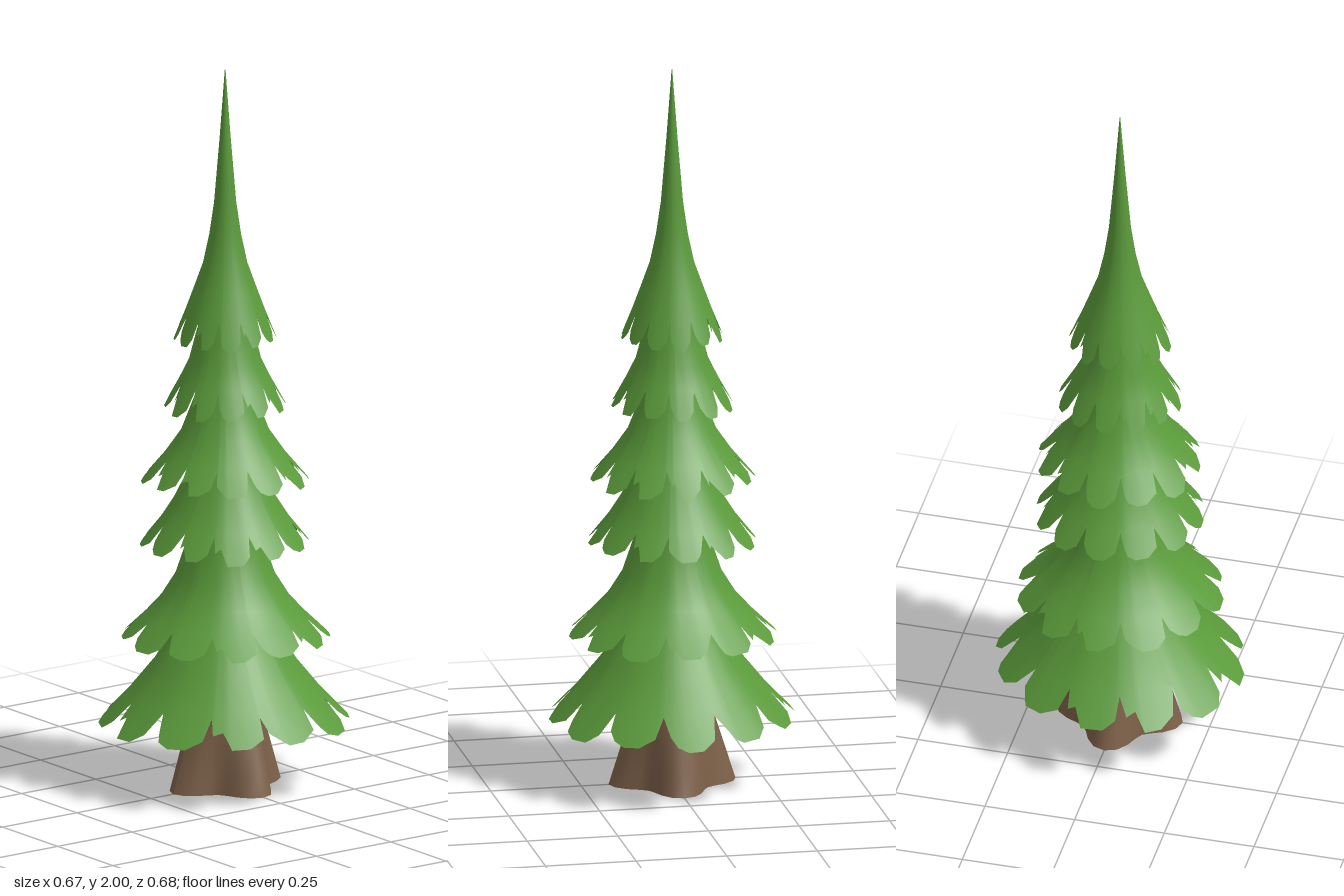
import * as THREE from 'three';

const foliage = new THREE.MeshStandardMaterial({ color: 0x5a9a3a, side: THREE.DoubleSide });
foliage.name = 'needle green';
const bark = new THREE.MeshStandardMaterial({ color: 0x7d6149 });
bark.name = 'bark brown';

// Small seeded generator for the ragged hems
function seeded(seed) {
  let s = seed;
  return () => (s = (s * 16807) % 2147483647) / 2147483647;
}

// Tooth outline inside one lobe: [position across the lobe, reach 0..1]
const TOOTH = [[-0.5, 0.1], [-0.38, 0.72], [-0.15, 0.98], [0.14, 1], [0.3, 0.86], [0.42, 0.6]];
const LOBES = 12;

// Open skirt swept round the y axis. The last two profile points [r, y] are the
// notch and the tip of the hem; each spoke ends somewhere between them.
function skirt(name, profile, seed) {
  const rnd = seeded(seed * 7919 + 13);
  const spokes = [];
  for (let k = 0; k < LOBES; k++) {
    const reach = 0.88 + 0.14 * rnd();
    const split = rnd() > 0.55;
    TOOTH.forEach(([u, h], n) => {
      const angle = (k + u + (rnd() - 0.5) * 0.1) * (Math.PI * 2 / LOBES);
      const hem = split && n === 4 ? 0.45 : h * reach;
      spokes.push([angle, hem]);
    });
  }
  const rows = profile.length, count = spokes.length;
  const positions = [], index = [];
  spokes.forEach(([angle, hem], i) => {
    profile.forEach((point, j) => {
      let [r, y] = point;
      if (j === rows - 1) {
        const [r0, y0] = profile[j - 1];
        r = r0 + (r - r0) * hem;
        y = y0 + (y - y0) * hem;
      }
      positions.push(Math.cos(angle) * r, y, Math.sin(angle) * r);
      if (j < rows - 1) {
        const a = i * rows + j, b = ((i + 1) % count) * rows + j;
        index.push(a, b, a + 1, b, b + 1, a + 1);
      }
    });
  });
  const geometry = new THREE.BufferGeometry();
  geometry.setAttribute('position', new THREE.Float32BufferAttribute(positions, 3));
  geometry.setIndex(index);
  geometry.computeVertexNormals();
  const mesh = new THREE.Mesh(geometry, foliage);
  mesh.name = name;
  return mesh;
}

// Trunk flaring into four roots at the ground
function trunk() {
  const height = 0.5;
  const geometry = new THREE.CylinderGeometry(1, 1, height, 32, 8);
  geometry.translate(0, height / 2, 0);
  const p = geometry.attributes.position;
  for (let i = 0; i < p.count; i++) {
    const x = p.getX(i), y = p.getY(i), z = p.getZ(i);
    const flare = Math.max(0, 1 - y / 0.26);
    const roots = Math.cos(4 * Math.atan2(z, x));
    const r = 0.1 - 0.03 * y + flare * (0.045 + 0.03 * roots);
    p.setX(i, x * r);
    p.setZ(i, z * r);
  }
  geometry.computeVertexNormals();
  const mesh = new THREE.Mesh(geometry, bark);
  mesh.name = 'trunk';
  return mesh;
}

export function createModel() {
  const tree = new THREE.Group();
  tree.name = 'fir tree';
  tree.add(trunk());

  // Branch tiers from the ground up, each tucked under the next
  const tiers = [
    [[0.08, 0.52], [0.135, 0.44], [0.195, 0.345], [0.262, 0.262], [0.344, 0.175]],
    [[0.09, 0.74], [0.108, 0.67], [0.135, 0.59], [0.175, 0.525], [0.22, 0.475], [0.287, 0.41]],
    [[0.08, 0.93], [0.105, 0.87], [0.14, 0.8], [0.175, 0.745], [0.234, 0.67]],
    [[0.07, 1.12], [0.093, 1.06], [0.12, 0.99], [0.165, 0.925], [0.228, 0.85]],
    [[0.06, 1.33], [0.08, 1.26], [0.098, 1.19], [0.125, 1.135], [0.169, 1.055]],
    [[0.001, 2], [0.015, 1.81], [0.03, 1.63], [0.043, 1.54], [0.06, 1.46], [0.085, 1.39],
      [0.107, 1.33], [0.141, 1.245]],
  ];
  tiers.forEach((profile, i) => {
    const name = i === tiers.length - 1 ? 'treeTop' : `branchTier${i + 1}`;
    tree.add(skirt(name, profile, i + 1));
  });
  return tree;
}
